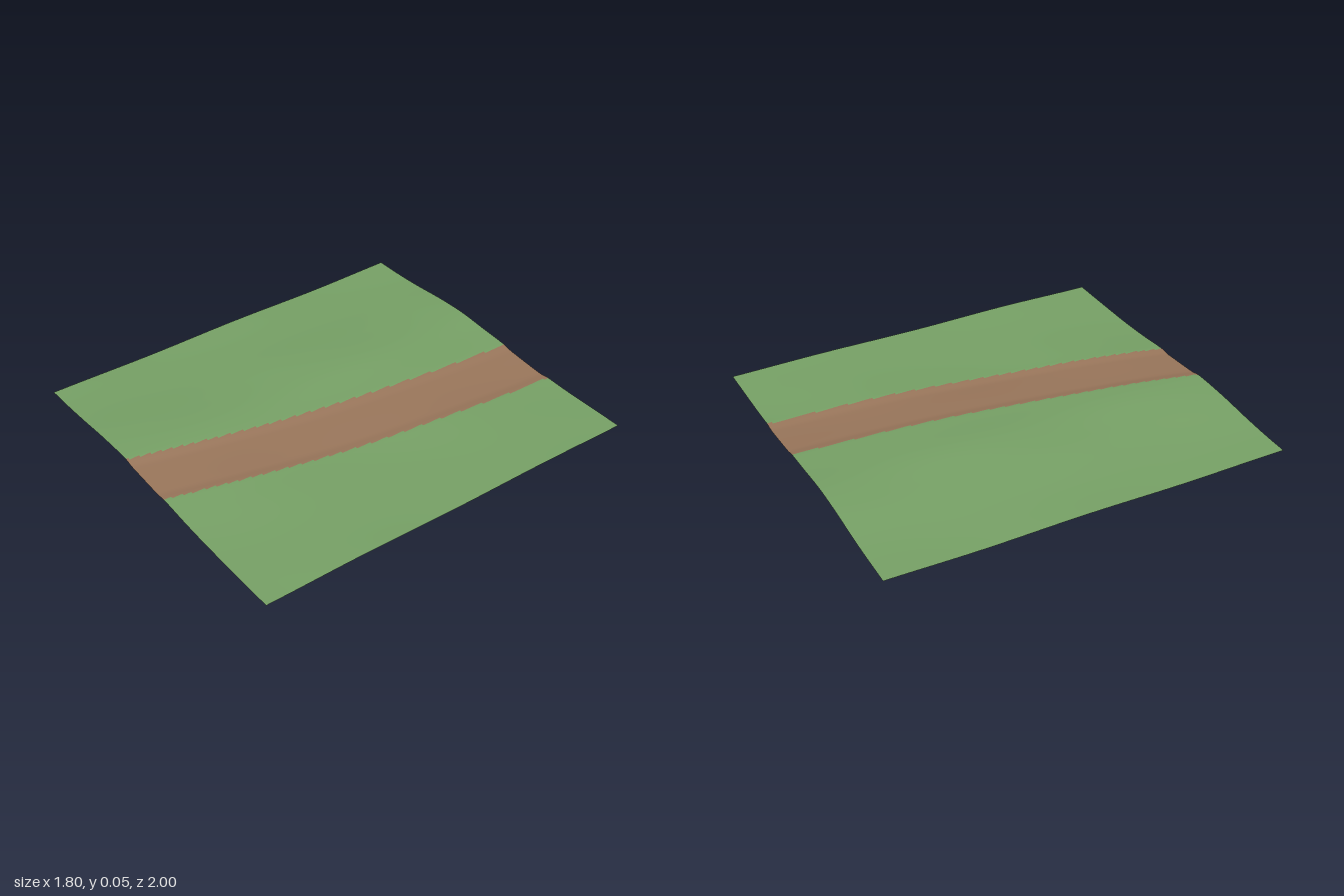
import * as THREE from 'three';

const WIDTH = 1.8, DEPTH = 2, COLS = 144, ROWS = 160;
const PATH_HALF_WIDTH = 0.16;

// Cross-profile of the ground from left edge to right edge: a low ridge beside the path
const ridge = new THREE.SplineCurve([
  [-0.9, 0.014], [-0.75, 0.018], [-0.6, 0.026], [-0.4, 0.042], [-0.22, 0.049], [-0.05, 0.04],
  [0.15, 0.028], [0.3, 0.018], [0.5, 0.011], [0.7, 0.01], [0.9, 0.012],
].map(([x, y]) => new THREE.Vector2(x, y))).getPoints(200);

function ridgeHeight(x) {
  const i = Math.max(1, ridge.findIndex((p) => p.x >= x - 1e-6));
  const a = ridge[i - 1], b = ridge[i];
  return THREE.MathUtils.mapLinear(x, a.x, b.x, a.y, b.y);
}

// Centre line of the curving path
const pathCentre = (z) => 0.16 - 0.155 * z - 0.055 * z * z;

function groundHeight(x, z) {
  const swell = 0.0025 * Math.cos(6 * (z - 0.75) + 2 * x) + 0.0008 * Math.sin(11 * x + 7 * z);
  const away = Math.abs(x - pathCentre(z));
  const sunk = 1 - THREE.MathUtils.smoothstep(away, PATH_HALF_WIDTH - 0.06, PATH_HALF_WIDTH + 0.01);
  return ridgeHeight(x) + swell - 0.009 * sunk;
}

export function createModel() {
  const group = new THREE.Group();
  group.name = 'groundTileWithPath';

  const material = (name, color) => {
    const m = new THREE.MeshStandardMaterial({ color, side: THREE.DoubleSide });
    m.name = name;
    return m;
  };

  // One displaced sheet supplies vertices and smooth normals to both parts
  const sheet = new THREE.PlaneGeometry(WIDTH, DEPTH, COLS, ROWS).rotateX(-Math.PI / 2);
  const pos = sheet.attributes.position;
  for (let i = 0; i < pos.count; i++) pos.setY(i, groundHeight(pos.getX(i), pos.getZ(i)));
  sheet.computeBoundingBox();
  sheet.translate(0, -sheet.boundingBox.min.y, 0);
  sheet.computeVertexNormals();

  // Sort whole grid cells into grass and path, leaving a stepped border
  const cells = { grass: [], path: [] };
  const index = sheet.index.array;
  for (let c = 0; c < COLS * ROWS; c++) {
    const x = ((c % COLS) + 0.5) / COLS * WIDTH - WIDTH / 2;
    const z = (Math.floor(c / COLS) + 0.5) / ROWS * DEPTH - DEPTH / 2;
    const onPath = Math.abs(x - pathCentre(z)) < PATH_HALF_WIDTH;
    cells[onPath ? 'path' : 'grass'].push(...index.slice(c * 6, c * 6 + 6));
  }

  const materials = {
    grass: material('grassGreen', 0x76a065),
    path: material('earthBrown', 0x98755a),
  };
  for (const part of ['grass', 'path']) {
    const geometry = new THREE.BufferGeometry();
    geometry.setAttribute('position', sheet.attributes.position);
    geometry.setAttribute('normal', sheet.attributes.normal);
    geometry.setIndex(cells[part]);
    const mesh = new THREE.Mesh(geometry, materials[part]);
    mesh.name = part;
    group.add(mesh);
  }
  return group;
}
